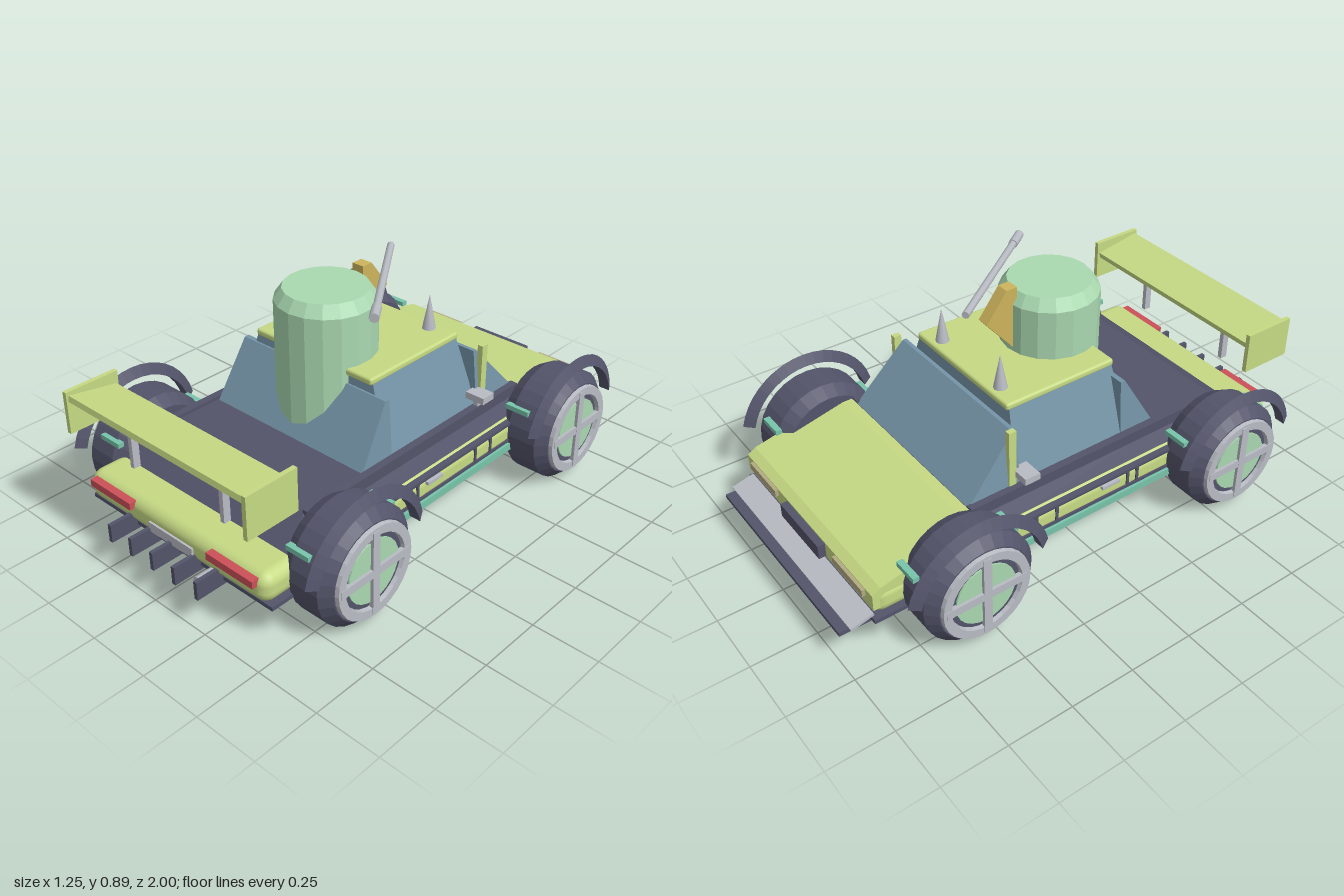
import * as THREE from 'three';
import { RoundedBoxGeometry } from 'three/addons/geometries/RoundedBoxGeometry.js';

const paint = (name, color) => {
  const m = new THREE.MeshStandardMaterial({ color });
  m.name = name;
  return m;
};

export function createModel() {
  const model = new THREE.Group();
  model.name = 'armedBuggy';
  const navy = paint('navy', 0x53546a), lime = paint('lime', 0xc6da84), mint = paint('mint', 0xa9d8b0);
  const blue = paint('glassBlue', 0x7595a8), teal = paint('teal', 0x78c4aa), silver = paint('silver', 0xb9bcc4);
  const red = paint('red', 0xcc5058), ochre = paint('ochre', 0xcdb45c), tan = paint('tan', 0xb3a983);

  const add = (name, geometry, material, x = 0, y = 0, z = 0, parent = model) => {
    const mesh = new THREE.Mesh(geometry, material);
    mesh.name = name;
    mesh.position.set(x, y, z);
    parent.add(mesh);
    return mesh;
  };
  // box given by its low and high limits
  const block = (name, material, x0, x1, y0, y1, z0, z1, parent) =>
    add(name, new THREE.BoxGeometry(x1 - x0, y1 - y0, z1 - z0), material,
      (x0 + x1) / 2, (y0 + y1) / 2, (z0 + z1) / 2, parent);
  // tapered box: bottom and top are [half width, z min, z max]
  const taper = (name, material, y0, y1, bottom, top) => {
    const g = new THREE.BoxGeometry(1, 1, 1), p = g.attributes.position;
    for (let i = 0; i < p.count; i++) {
      const [w, z0, z1] = p.getY(i) > 0 ? top : bottom;
      p.setXYZ(i, Math.sign(p.getX(i)) * w, p.getY(i) > 0 ? y1 : y0, p.getZ(i) > 0 ? z1 : z0);
    }
    g.computeVertexNormals();
    return add(name, g, material);
  };
  // side profile of [z, y] points, extruded across x
  const prism = (name, material, points, halfWidth) => {
    const shape = new THREE.Shape(points.map(([z, y]) => new THREE.Vector2(z, y)));
    const g = new THREE.ExtrudeGeometry(shape, { depth: 2 * halfWidth, bevelEnabled: false });
    g.translate(0, 0, -halfWidth).rotateY(-Math.PI / 2);
    return add(name, g, material);
  };
  // faceted lathe around the x axis, points are [radius, x]
  const spin = (points, sides, start = 0, length = Math.PI * 2) => {
    const g = new THREE.LatheGeometry(points.map(([r, x]) => new THREE.Vector2(r, x)), sides, start, length)
      .rotateZ(-Math.PI / 2).toNonIndexed();
    g.computeVertexNormals();
    return g;
  };

  // chassis
  block('floorPan', navy, -0.455, 0.455, 0.15, 0.165, -0.885, 0.89);
  add('lowerBody', new RoundedBoxGeometry(0.9, 0.115, 1.79, 3, 0.045), lime, 0, 0.222, 0.015);
  taper('upperHull', navy, 0.26, 0.36, [0.43, -0.48, 0.8], [0.37, -0.46, 0.66]);
  prism('hood', lime, [[-0.46, 0.2], [-0.46, 0.365], [-0.5, 0.365], [-0.85, 0.285], [-0.882, 0.265], [-0.882, 0.2]], 0.445);

  // cabin glass and roof
  taper('sideGlass', blue, 0.36, 0.615, [0.36, -0.25, 0.25], [0.28, -0.22, 0.23]);
  taper('windshield', blue, 0.36, 0.58, [0.37, -0.455, -0.24], [0.345, -0.255, -0.24]);
  taper('rearGlass', blue, 0.36, 0.58, [0.36, 0.22, 0.37], [0.345, 0.22, 0.24]);
  add('roof', new RoundedBoxGeometry(0.56, 0.028, 0.47, 2, 0.01), lime, 0, 0.624, 0.005);

  // turret, bracket and gun bar
  const turret = [[0, 0.4], [0.185, 0.4], [0.185, 0.83], [0.155, 0.873], [0, 0.873]];
  const turretGeometry = new THREE.LatheGeometry(turret.map(([r, y]) => new THREE.Vector2(r, y)), 18).toNonIndexed();
  turretGeometry.computeVertexNormals();
  add('turret', turretGeometry, mint, 0, 0, 0.162);
  prism('gunBracket', ochre, [[0, 0.895], [0, 0.65], [-0.02, 0.655], [-0.13, 0.785], [-0.045, 0.895]], 0.025);
  const bar = new THREE.Group();
  bar.name = 'gunBar';
  bar.position.set(0.125, 0.881, 0.008);
  bar.rotation.y = Math.atan2(0.355, 0.49);
  model.add(bar);
  add('barrel', new THREE.CylinderGeometry(0.014, 0.014, 0.6, 8).rotateX(Math.PI / 2), silver, 0, 0, 0, bar);
  add('muzzle', new THREE.CylinderGeometry(0.018, 0.018, 0.08, 8).rotateX(Math.PI / 2), silver, 0, 0, 0.26, bar);

  // spoiler
  const wing = block('spoilerWing', lime, -0.43, 0.43, 0.568, 0.59, 0.765, 0.96);
  wing.rotation.x = -0.17;

  // tail
  block('licencePlate', silver, -0.11, 0.11, 0.19, 0.227, 0.9, 0.918);
  for (let i = -2; i <= 2; i++) block('diffuserFin', navy, i * 0.11 - 0.008, i * 0.11 + 0.008, 0.132, 0.202, 0.86, 1);
  add('exhaust', new THREE.CylinderGeometry(0.02, 0.02, 0.1, 10).rotateX(Math.PI / 2), silver, 0.195, 0.17, 0.92);

  // nose
  block('grille', navy, -0.135, 0.135, 0.205, 0.26, -0.91, -0.87);
  block('splitter', navy, -0.42, 0.42, 0.135, 0.15, -1, -0.85);
  const lip = block('splitterLip', silver, -0.435, 0.435, 0.158, 0.17, -0.965, -0.875);
  lip.rotation.x = -0.25;

  // paired parts on each side
  for (const s of [-1, 1]) {
    const pair = (name, material, x0, x1, ...rest) =>
      block(name, material, Math.min(s * x0, s * x1), Math.max(s * x0, s * x1), ...rest);
    pair('hullRail', navy, 0.365, 0.395, 0.33, 0.373, -0.46, 0.66);
    pair('spoilerEndPlate', lime, 0.428, 0.446, 0.46, 0.62, 0.755, 0.967);
    pair('spoilerStrut', silver, 0.217, 0.235, 0.37, 0.575, 0.848, 0.876);
    pair('tailLight', red, 0.193, 0.41, 0.236, 0.264, 0.89, 0.928);
    pair('headlight', tan, 0.205, 0.4, 0.235, 0.262, -0.895, -0.87);
    pair('cornerPost', lime, 0.35, 0.372, 0.36, 0.6, -0.288, -0.258);
    pair('mirror', silver, 0.35, 0.43, 0.404, 0.43, -0.262, -0.2);
    pair('mirrorStalk', silver, 0.37, 0.39, 0.36, 0.41, -0.24, -0.222);
    pair('sideSkirt', teal, 0.43, 0.462, 0.157, 0.186, -0.36, 0.4);
    for (const y of [0.196, 0.268]) pair('sideTrim', navy, 0.43, 0.455, y - 0.006, y + 0.006, -0.36, 0.4);
    for (const z of [0.23, 0.185, -0.14, -0.23]) pair('sideDivider', navy, 0.44, 0.454, 0.2, 0.265, z - 0.006, z + 0.006);
    pair('doorHandle', silver, 0.44, 0.462, 0.242, 0.254, 0.06, 0.14);
    for (const z of [0.78, 0.4, -0.37, -0.76]) pair('suspensionArm', teal, 0.42, 0.52, 0.318, 0.337, z - 0.012, z + 0.012);
    add('roofSpike', new THREE.ConeGeometry(0.026, 0.135, 10), silver, s * 0.18, 0.705, -0.185);

    // wheels with arches, built facing +x and turned for the other side
    for (const z of [0.593, -0.556]) {
      const wheel = new THREE.Group();
      wheel.name = 'wheel';
      wheel.position.set(0, 0.22, z);
      wheel.rotation.y = s > 0 ? 0 : Math.PI;
      model.add(wheel);
      const tyre = [[0, 0.4], [0.185, 0.4], [0.216, 0.45], [0.216, 0.57], [0.18, 0.607], [0, 0.607]];
      add('tyre', spin(tyre, 28), navy, 0, 0, 0, wheel);
      add('rimRing', spin([[0.135, 0.6], [0.176, 0.6], [0.172, 0.622], [0.14, 0.622], [0.135, 0.6]], 28), silver, 0, 0, 0, wheel);
      add('hubDisc', spin([[0.118, 0.6], [0.118, 0.613], [0, 0.613]], 24), mint, 0, 0, 0, wheel);
      block('uprightSpoke', silver, 0.6, 0.625, -0.16, 0.16, -0.016, 0.016, wheel);
      block('levelSpoke', silver, 0.6, 0.624, -0.016, 0.016, -0.16, 0.16, wheel);
      const arch = [[0.245, 0.558], [0.285, 0.58], [0.245, 0.602], [0.245, 0.558]];
      add('wheelArch', spin(arch, 18, Math.PI + 0.24, Math.PI - 0.48), navy, 0, 0, 0, wheel);
    }
  }
  return model;
}
